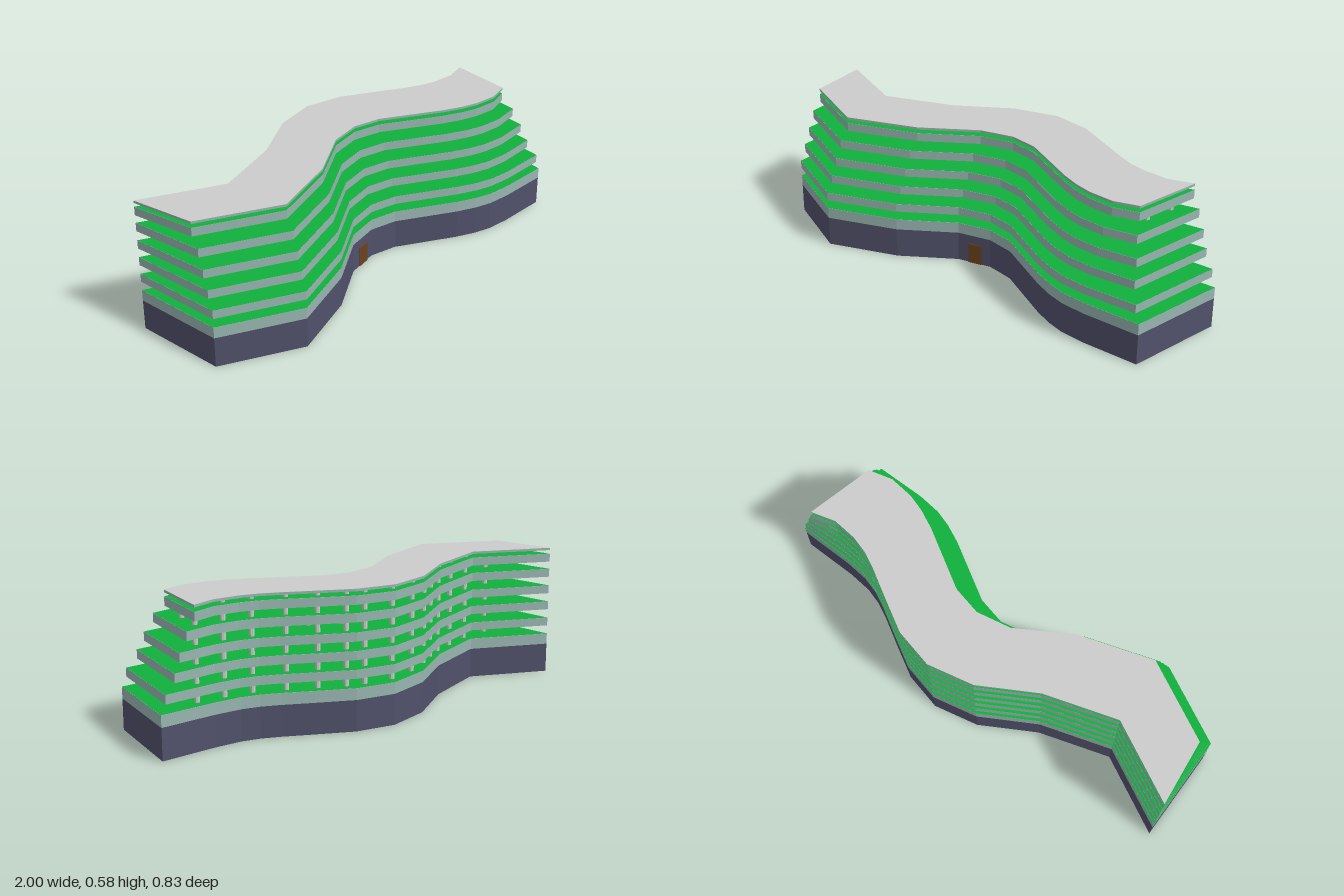
import * as THREE from 'three';

const paint = (color, side = THREE.FrontSide) =>
  new THREE.MeshStandardMaterial({ color, side, flatShading: true });
const teal = paint(0x98b5b0), navy = paint(0x50506a), green = paint(0x11b03c);
const grey = paint(0xcccccc), brown = paint(0x6b431c);

// Plan curves as [x, z]; the front one is for the widest floor
const BACK = [[-1, -0.07], [-0.64, 0.02], [-0.36, -0.145], [-0.16, -0.33], [0.025, -0.417], [0.2, -0.417],
  [0.36, -0.37], [0.49, -0.33], [0.57, -0.311], [0.65, -0.306], [0.76, -0.32]];
const FRONT = [[-0.905, 0.325], [-0.545, 0.417], [-0.265, 0.25], [-0.07, 0.062], [0.07, 0], [0.2, 0],
  [0.34, 0.045], [0.48, 0.09], [0.57, 0.11], [0.65, 0.117], [0.76, 0.105]];

// Height z of a plan curve at x
function zAt(curve, x) {
  const i = Math.max(1, curve.findIndex(p => p[0] >= x));
  const [a, b] = x > curve.at(-1)[0] ? curve.slice(-2) : [curve[i - 1], curve[i]];
  return a[1] + (b[1] - a[1]) * (x - a[0]) / (b[0] - a[0]);
}

// Wavy floor plan: front pulled in by setback, right end at endX
function plan(endX, setback) {
  const front = [...FRONT, [endX, 0.055]].map(([x, z]) => [x, z - setback]);
  const outline = [...front, [endX, -0.372], ...BACK.slice().reverse()];
  return new THREE.Shape(outline.map(([x, z]) => new THREE.Vector2(x, -z)));
}

function add(parent, name, geometry, material) {
  const mesh = new THREE.Mesh(geometry, material);
  mesh.name = name;
  parent.add(mesh);
  return mesh;
}

// Slab between two heights, with an optional thin covering on top
function slab(parent, name, endX, setback, bottom, top, material, cover) {
  const shape = plan(endX, setback);
  const body = new THREE.ExtrudeGeometry(shape, { depth: top - bottom, bevelEnabled: false });
  add(parent, name, body.rotateX(-Math.PI / 2).translate(0, bottom, 0), material);
  if (cover) {
    const sheet = new THREE.ShapeGeometry(shape).rotateX(-Math.PI / 2).translate(0, top + 0.0008, 0);
    add(parent, name + 'Covering', sheet, cover);
  }
}

export function createModel() {
  const model = new THREE.Group();
  model.name = 'terracedBuilding';

  // Ground storey
  slab(model, 'groundStorey', 1, 0, 0, 0.13, navy);
  slab(model, 'groundStoreyRim', 1, 0, 0.13, 0.178, teal, green);

  // Planted floors stepping back: [right end, setback, bottom, top]
  [[0.98, 0, 0.217, 0.253], [0.942, 0.027, 0.293, 0.329], [0.92, 0.054, 0.368, 0.404],
    [0.89, 0.082, 0.445, 0.481], [0.857, 0.124, 0.515, 0.551]].forEach(([end, setback, bottom, top], i) =>
    slab(model, 'floor' + (i + 1), end, setback, bottom, top, teal, green));

  // Roof
  slab(model, 'roof', 0.857, 0.124, 0.568, 0.578, teal, grey);

  // Columns in a back row and a middle row
  const columns = new THREE.Group();
  columns.name = 'columns';
  model.add(columns);
  const shaft = new THREE.CylinderGeometry(0.011, 0.011, 0.39, 8);
  const row = (name, xs, z) => xs.forEach(x =>
    add(columns, name, shaft, grey).position.set(x, 0.373, z(x)));
  row('backColumn', [-0.62, -0.49, -0.39, -0.31, -0.23, -0.12, 0.01, 0.14, 0.22, 0.33, 0.45, 0.58, 0.7, 0.82],
    x => zAt(BACK, x) + 0.045);
  row('middleColumn', [-0.77, -0.6, -0.475, -0.33, -0.29, -0.19, -0.04, 0.09, 0.18, 0.31, 0.45, 0.58, 0.71, 0.82],
    x => zAt(FRONT, x) - 0.25);

  // Door set against the slanted wall
  const door = add(model, 'door', new THREE.BoxGeometry(0.062, 0.09, 0.03), brown);
  door.position.set(0, 0.045, zAt(FRONT, 0) - 0.012);
  door.rotation.y = Math.atan2(0.062, 0.14);

  return model;
}
